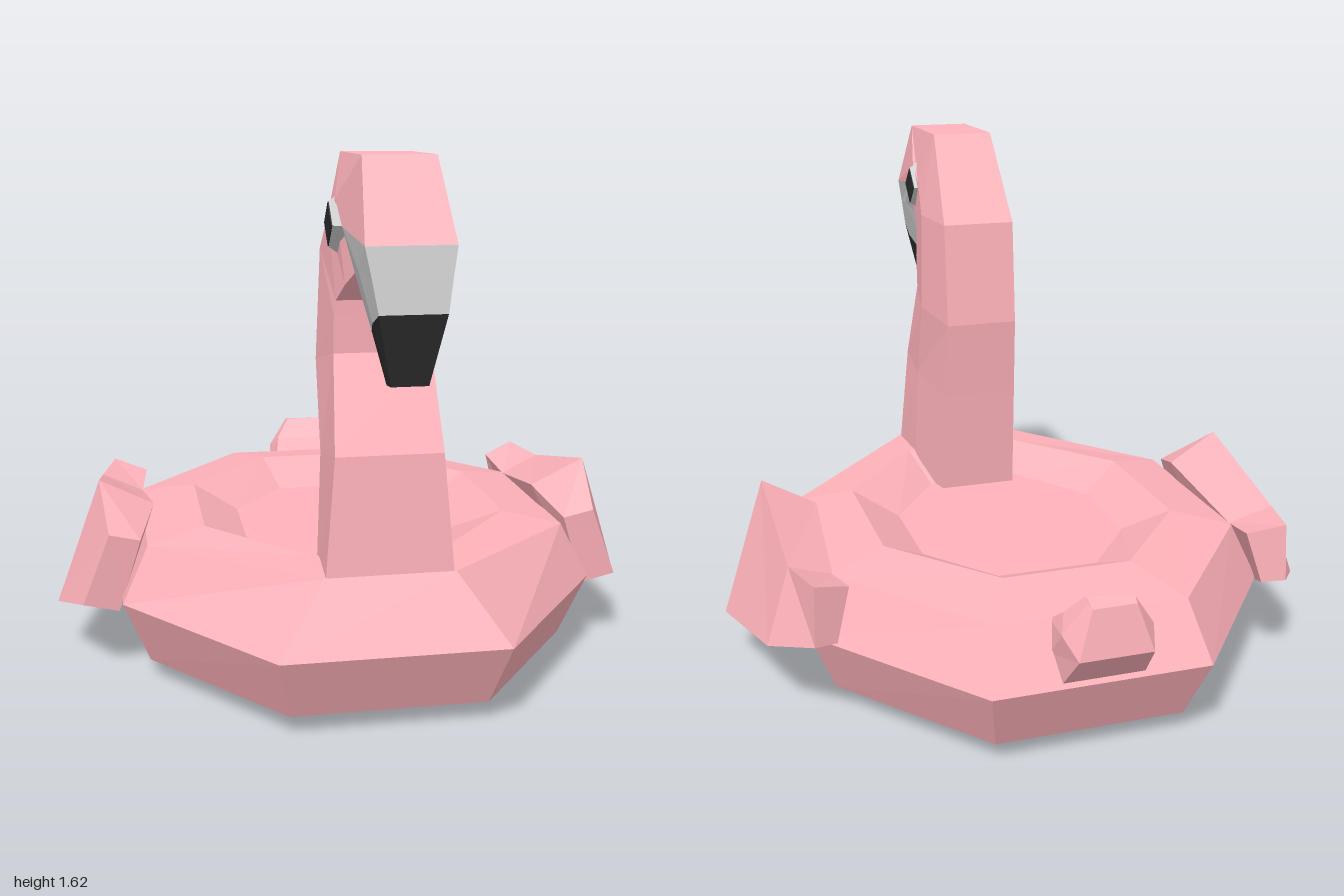
import * as THREE from 'three';

const material = (color) => new THREE.MeshStandardMaterial({ color, flatShading: true });

// Closed solid through a list of equal-length point loops, capped at both ends.
function loft(name, loops, mat) {
  const n = loops[0].length, tris = [];
  const cap = (loop, flip) => {
    for (let i = 1; i < n - 1; i++) {
      tris.push(flip ? [loop[0], loop[i + 1], loop[i]] : [loop[0], loop[i], loop[i + 1]]);
    }
  };
  for (let k = 0; k < loops.length - 1; k++) {
    for (let i = 0; i < n; i++) {
      const j = (i + 1) % n;
      const a = loops[k][i], b = loops[k][j], c = loops[k + 1][j], d = loops[k + 1][i];
      tris.push([a, b, c], [a, c, d]);
    }
  }
  cap(loops[0], true);
  cap(loops[loops.length - 1], false);
  // Turn every face outward whichever way the loops run
  let volume = 0;
  const vec = (p) => new THREE.Vector3(...p);
  for (const [a, b, c] of tris) volume += vec(a).dot(vec(b).cross(vec(c)));
  if (volume < 0) tris.forEach((t) => t.reverse());
  const geometry = new THREE.BufferGeometry();
  geometry.setAttribute('position', new THREE.Float32BufferAttribute(tris.flat(2), 3));
  geometry.computeVertexNormals();
  const mesh = new THREE.Mesh(geometry, mat);
  mesh.name = name;
  return mesh;
}

// Symmetric loop from [y, z, halfWidth] rows
const mirrored = (rows) => [
  ...rows.map(([y, z, w]) => [w, y, z]),
  ...rows.slice().reverse().map(([y, z, w]) => [-w, y, z]),
];

export function createModel() {
  const group = new THREE.Group();
  group.name = 'swimRing';
  const pink = material(0xffb2ba), grey = material(0xcccccc), black = material(0x2a2a2a);

  // Octagonal float with shallow recesses above and below:
  // height, half width, corner x, front z, side front z, side back z, back z
  const ring = (y, w, cx, zf, sf, sb, zb, frontX = cx, frontY = y) =>
    mirrored([[frontY, zf, frontX], [y, sf, w], [y, sb, w], [y, zb, cx]]);
  group.add(loft('float', [
    ring(0.07, 0.34, 0.16, 0.39, 0.13, -0.2, -0.43),
    ring(0, 0.48, 0.2, 0.56, 0.22, -0.27, -0.6),
    ring(0.06, 0.66, 0.29, 0.76, 0.28, -0.36, -0.82),
    ring(0.26, 0.74, 0.33, 0.86, 0.32, -0.4, -0.92),
    ring(0.43, 0.66, 0.29, 0.75, 0.28, -0.36, -0.82, 0.19, 0.46),
    ring(0.465, 0.48, 0.2, 0.56, 0.22, -0.27, -0.6),
    ring(0.39, 0.34, 0.16, 0.39, 0.13, -0.2, -0.43),
  ], pink));

  // Neck and head: each section is front/throat, side, back/crown
  const beakBase = mirrored([[1.31, 0.74, 0.1], [1.43, 0.73, 0.135], [1.4, 0.97, 0.12]]);
  const beakEnd = mirrored([[1.17, 0.86, 0.08], [1.2, 0.93, 0.092], [1.23, 1.0, 0.09]]);
  group.add(loft('neckAndHead', [
    mirrored([[0.45, 0.75, 0.185], [0.38, 0.55, 0.18], [0.37, 0.335, 0.13]]),
    mirrored([[0.8, 0.73, 0.155], [0.77, 0.54, 0.165], [0.74, 0.302, 0.125]]),
    mirrored([[1.07, 0.62, 0.14], [1.03, 0.46, 0.165], [1.0, 0.275, 0.12]]),
    mirrored([[1.18, 0.627, 0.14], [1.35, 0.48, 0.155], [1.34, 0.305, 0.12]]),
    mirrored([[1.22, 0.63, 0.135], [1.45, 0.56, 0.145], [1.62, 0.5, 0.1]]),
    mirrored([[1.27, 0.69, 0.12], [1.5, 0.65, 0.14], [1.62, 0.82, 0.1]]),
    beakBase,
  ], pink));

  // Hooked beak with a dark tip
  group.add(loft('beak', [
    beakBase,
    mirrored([[1.25, 0.8, 0.095], [1.33, 0.87, 0.118], [1.32, 0.985, 0.105]]),
    beakEnd,
  ], grey));
  group.add(loft('beakTip', [
    beakEnd,
    mirrored([[1.035, 0.91, 0.05], [1.04, 0.94, 0.055], [1.04, 0.965, 0.05]]),
  ], black));

  // Tail
  group.add(loft('tail', [
    mirrored([[0.42, -0.8, 0.125], [0.34, -0.85, 0.14], [0.26, -0.9, 0.125]]),
    mirrored([[0.47, -0.87, 0.11], [0.43, -0.93, 0.135], [0.38, -1.0, 0.11]]),
    mirrored([[0.535, -0.92, 0.065], [0.53, -0.95, 0.068], [0.52, -0.975, 0.065]]),
  ], pink));

  // Wing sections front to back: outer top, outer bottom, inner bottom, inner top
  const wing = [
    [[0.775, 0.465, 0.265], [0.86, 0.24, 0.25], [0.75, 0.21, 0.24], [0.68, 0.44, 0.255]],
    [[0.8, 0.59, 0.08], [0.945, 0.175, 0.02], [0.76, 0.14, 0.02], [0.63, 0.5, 0.06]],
    [[0.79, 0.485, -0.38], [0.865, 0.25, -0.4], [0.74, 0.23, -0.37], [0.655, 0.43, -0.35]],
    [[0.745, 0.495, -0.56], [0.75, 0.31, -0.57], [0.68, 0.3, -0.54], [0.635, 0.46, -0.51]],
  ];
  for (const [side, s] of [['left', 1], ['right', -1]]) {
    group.add(loft(side + 'Wing', wing.map((l) => l.map(([x, y, z]) => [s * x, y, z])), pink));

    // Diamond eye: pale bevelled surround with a dark centre
    const eye = new THREE.Group();
    eye.name = side + 'Eye';
    const surround = new THREE.Mesh(new THREE.CylinderGeometry(0.062, 0.09, 0.04, 4), grey);
    surround.name = 'eyeSurround';
    const pupil = new THREE.Mesh(new THREE.CylinderGeometry(0.06, 0.06, 0.02, 4), black);
    pupil.name = 'pupil';
    pupil.position.y = 0.013;
    eye.add(surround, pupil);
    eye.rotation.z = -s * Math.PI / 2;
    eye.position.set(s * 0.135, 1.43, 0.635);
    group.add(eye);
  }
  return group;
}
